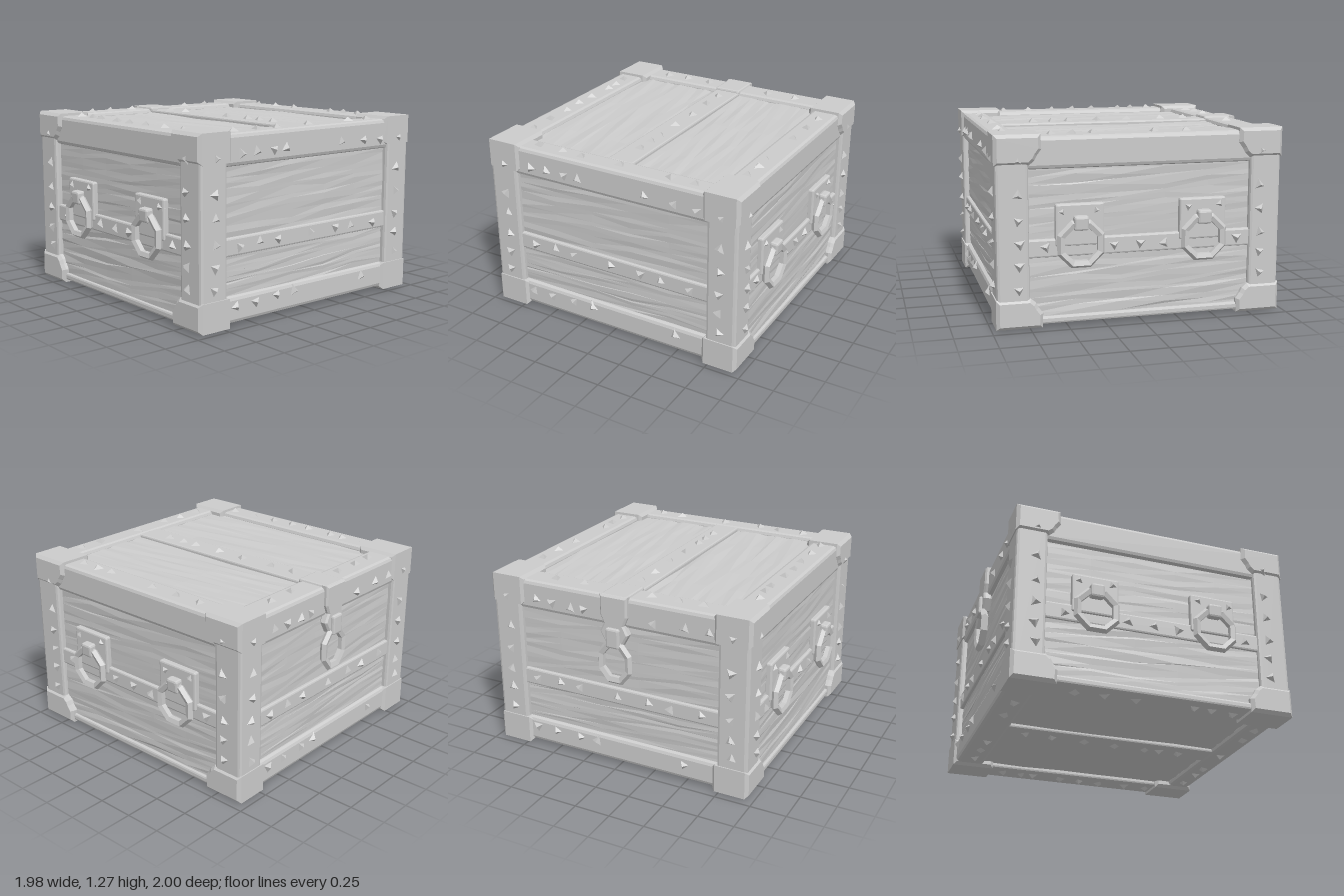
import * as THREE from 'three';
import { RoundedBoxGeometry } from 'three/addons/geometries/RoundedBoxGeometry.js';

const grey = new THREE.MeshStandardMaterial({ color: 0xcccccc, flatShading: true });
grey.name = 'plain grey';

// Half sizes of the chest body
const HX = 0.965, HY = 0.618, HZ = 0.958;

let seed = 7;
const rand = () => (seed = (seed * 16807) % 2147483647) / 2147483647;

function add(parent, name, geometry, x = 0, y = 0, z = 0) {
  const mesh = new THREE.Mesh(geometry, grey);
  mesh.name = name;
  mesh.position.set(x, y, z);
  parent.add(mesh);
  return mesh;
}

// Chamfered block given by its limits
function block(parent, name, x0, x1, y0, y1, z0, z1, c = 0.014) {
  const g = new RoundedBoxGeometry(x1 - x0, y1 - y0, z1 - z0, 1, c);
  return add(parent, name, g, (x0 + x1) / 2, (y0 + y1) / 2, (z0 + z1) / 2);
}

// Bevelled plate cut from an outline
function plate(parent, name, points, depth, z, bevel = 0.012) {
  const shape = new THREE.Shape(points.map(p => new THREE.Vector2(p[0], p[1])));
  const g = new THREE.ExtrudeGeometry(shape, {
    depth: depth - 2 * bevel, bevelEnabled: true, bevelThickness: bevel,
    bevelSize: bevel, bevelOffset: -bevel, bevelSegments: 1,
  });
  return add(parent, name, g, 0, 0, z + bevel);
}

// Slightly hewn wooden panel: long facets along the grain
function panel(parent, u0, u1, v0, v1, w, rough) {
  const g = new THREE.PlaneGeometry(u1 - u0, v1 - v0, 5, 12);
  const p = g.attributes.position;
  for (let i = 0; i < p.count; i++) {
    p.setZ(i, rand() * rough);
    const inner = Math.abs(p.getY(i)) < (v1 - v0) / 2 - 0.01;
    if (inner) p.setY(i, p.getY(i) + (rand() - 0.5) * 0.03);
  }
  add(parent, 'woodPanel', g, (u0 + u1) / 2, (v0 + v1) / 2, w);
}

// Three-sided spike
function stud(parent, u, v, w) {
  const g = new THREE.ConeGeometry(0.042 + rand() * 0.01, 0.034, 3, 1, true);
  g.rotateX(Math.PI / 2).rotateZ(rand() * 6.28);
  add(parent, 'stud', g, u + (rand() - 0.5) * 0.02, v + (rand() - 0.5) * 0.02, w + 0.011);
}

// Ring handle hanging from a square plate
function ringHandle(parent, u) {
  const handle = new THREE.Group();
  handle.name = 'ringHandle';
  handle.position.set(u, 0, 0);
  parent.add(handle);
  block(handle, 'handlePlate', -0.16, 0.16, -0.1, 0.175, HZ - 0.06, HZ - 0.01, 0.012);
  for (const s of [-1, 1]) stud(handle, s * 0.11, 0.125, HZ - 0.018);
  const ring = new THREE.TorusGeometry(0.14, 0.028, 5, 8).rotateZ(Math.PI / 8);
  add(handle, 'handleRing', ring, 0, -0.085, HZ + 0.008);
  const loop = block(handle, 'handleLoop', -0.048, 0.048, 0.005, 0.1, HZ - 0.02, HZ + 0.042, 0.015);
  loop.rotation.x = 0.08;
}

function makeFace(root, name, rx, ry) {
  const g = new THREE.Group();
  g.name = name;
  g.rotation.set(rx, ry, 0);
  root.add(g);
  return g;
}

export function createModel() {
  const model = new THREE.Group();
  model.name = 'chest';
  const root = new THREE.Group();
  root.name = 'chestBody';
  root.position.set(0.008, 0.65, 0);
  model.add(root);

  // Wooden core
  block(root, 'core', -HX + 0.052, HX - 0.052, -HY + 0.045, HY - 0.045, -HZ + 0.052, HZ - 0.052);

  // Corner posts and caps
  for (const sx of [-1, 1]) for (const sz of [-1, 1]) {
    const xs = [sx * 0.745, sx * (HX - 0.008)].sort((a, b) => a - b);
    const zs = [sz * 0.735, sz * (HZ - 0.008)].sort((a, b) => a - b);
    block(root, 'cornerPost', xs[0], xs[1], -HY + 0.01, HY - 0.01, zs[0], zs[1], 0.02);
    for (const sy of [-1, 1]) {
      const outline = [[HX, HY + 0.008], [0.665, HY + 0.008], [0.66, 0.53], [0.69, 0.49],
        [0.705, 0.46], [0.74, 0.43], [HX, 0.43]];
      plate(root, 'cornerCap', outline.map(p => [p[0] * sx, p[1] * sy]), 0.26,
        sz > 0 ? HZ + 0.005 - 0.26 : -HZ - 0.005, 0.022);
    }
  }

  // Rails of lid and base
  for (const s of [-1, 1]) {
    const z = [s * 0.735, s * (HZ - 0.018)].sort((a, b) => a - b);
    block(root, 'lidRailLong', -0.76, 0.76, 0.4, HY - 0.01, z[0], z[1], 0.026);
    block(root, 'baseRailLong', -0.76, 0.76, -HY + 0.01, -HY + 0.06, z[0], z[1], 0.014);
    const x = [s > 0 ? 0.772 : -0.738, s * (HX - 0.018)].sort((a, b) => a - b);
    block(root, 'lidRailSide', x[0], x[1], 0.4, HY - 0.012, -0.76, 0.76, 0.026);
    block(root, 'baseRailSide', x[0], x[1], -HY + 0.012, -0.43, -0.76, 0.76, 0.026);
  }

  const postV = [0.47, 0.25, 0.085, -0.075, -0.22, -0.36];

  // Front and back: panels, strap, studs and ring handles
  for (const [name, ry] of [['frontFace', 0], ['backFace', Math.PI]]) {
    const f = makeFace(root, name, 0, ry);
    panel(f, -0.74, 0.76, -0.05, 0.39, HZ - 0.052, 0.006);
    panel(f, -0.74, 0.76, -0.57, -0.17, HZ - 0.045, 0.009);
    block(f, 'frontStrap', -0.76, 0.76, -0.17, -0.05, HZ - 0.08, HZ - 0.025, 0.012);
    for (const u of [-0.63, -0.19, -0.01, 0.16, 0.65]) stud(f, u, -0.11, HZ - 0.025);
    for (const s of [-1, 1]) {
      for (const v of postV) stud(f, s * 0.815, v, HZ - 0.008);
      ringHandle(f, s * 0.415);
    }
  }

  // Right and left: panels, strap and studs
  for (const [name, s] of [['rightFace', 1], ['leftFace', -1]]) {
    const f = makeFace(root, name, 0, s * Math.PI / 2);
    panel(f, -0.74, 0.74, -0.05, 0.4, HX - 0.052, 0.006);
    panel(f, -0.74, 0.74, -0.43, -0.17, HX - 0.052, 0.006);
    block(f, 'sideStrap', -0.76, 0.76, -0.17, -0.05, HX - 0.08, HX - 0.025, 0.012);
    for (const u of [-0.63, -0.45, -0.3, 0, 0.23, 0.4, 0.61]) stud(f, u, -0.11, HX - 0.025);
    for (const u of [-0.62, -0.49, -0.35, -0.24, 0.28, 0.5, 0.66]) stud(f, u, 0.475, HX - 0.018);
    for (const u of [-0.65, -0.5, -0.3, -0.16, 0.5]) stud(f, u, -0.49, HX - 0.018);
    for (const e of [-1, 1]) for (const v of postV) stud(f, e * 0.835, v, HX - 0.008);
  }

  // Top and bottom: panels, strap and studs
  for (const [name, s] of [['topFace', -1], ['bottomFace', 1]]) {
    const f = makeFace(root, name, s * Math.PI / 2, 0);
    panel(f, -0.74, 0.775, 0.1, 0.735, HY - 0.045, 0.01);
    panel(f, -0.74, 0.775, -0.735, -0.1, HY - 0.045, 0.01);
    block(f, 'middleStrap', -0.76, 0.79, -0.098, 0.098, HY - 0.08, HY - 0.016, 0.012);
    for (const u of [-0.6, -0.42, -0.17, 0.06, 0.28, 0.4, 0.55]) stud(f, u, 0, HY - 0.016);
    for (const u of [-0.52, -0.32, -0.1, 0.3, 0.43, 0.58]) stud(f, u, 0.83, HY - 0.01);
    for (const u of [-0.55, -0.42, -0.33, -0.1, 0.05, 0.22, 0.43, 0.62]) stud(f, u, -0.83, HY - 0.01);
    for (const v of [0.52, 0.3, -0.22, -0.4, -0.58]) stud(f, -0.83, v, HY - 0.012);
    for (const v of [0.6, 0.42, 0.05, -0.25, -0.4, -0.6]) stud(f, 0.855, v, HY - 0.012);
  }

  // Hasp folding over the lid on the left side, with its long ring
  block(root, 'haspTop', -HX - 0.004, -0.73, HY - 0.06, HY + 0.002, -0.1, 0.1, 0.014);
  const hasp = makeFace(root, 'hasp', 0, -Math.PI / 2);
  plate(hasp, 'haspPlate', [[-0.1, HY], [-0.1, 0.48], [-0.075, 0.42], [-0.105, 0.36], [-0.06, 0.28],
    [0.06, 0.28], [0.105, 0.36], [0.075, 0.42], [0.1, 0.48], [0.1, HY]], 0.06, HX - 0.05);
  block(hasp, 'haspLoop', -0.05, 0.05, 0.26, 0.4, HX - 0.02, HX + 0.034, 0.014);
  const link = new THREE.TorusGeometry(0.11, 0.026, 5, 8).rotateZ(Math.PI / 8).scale(1, 1.25, 1);
  add(hasp, 'haspRing', link, 0, 0.155, HX - 0.002);

  return model;
}
